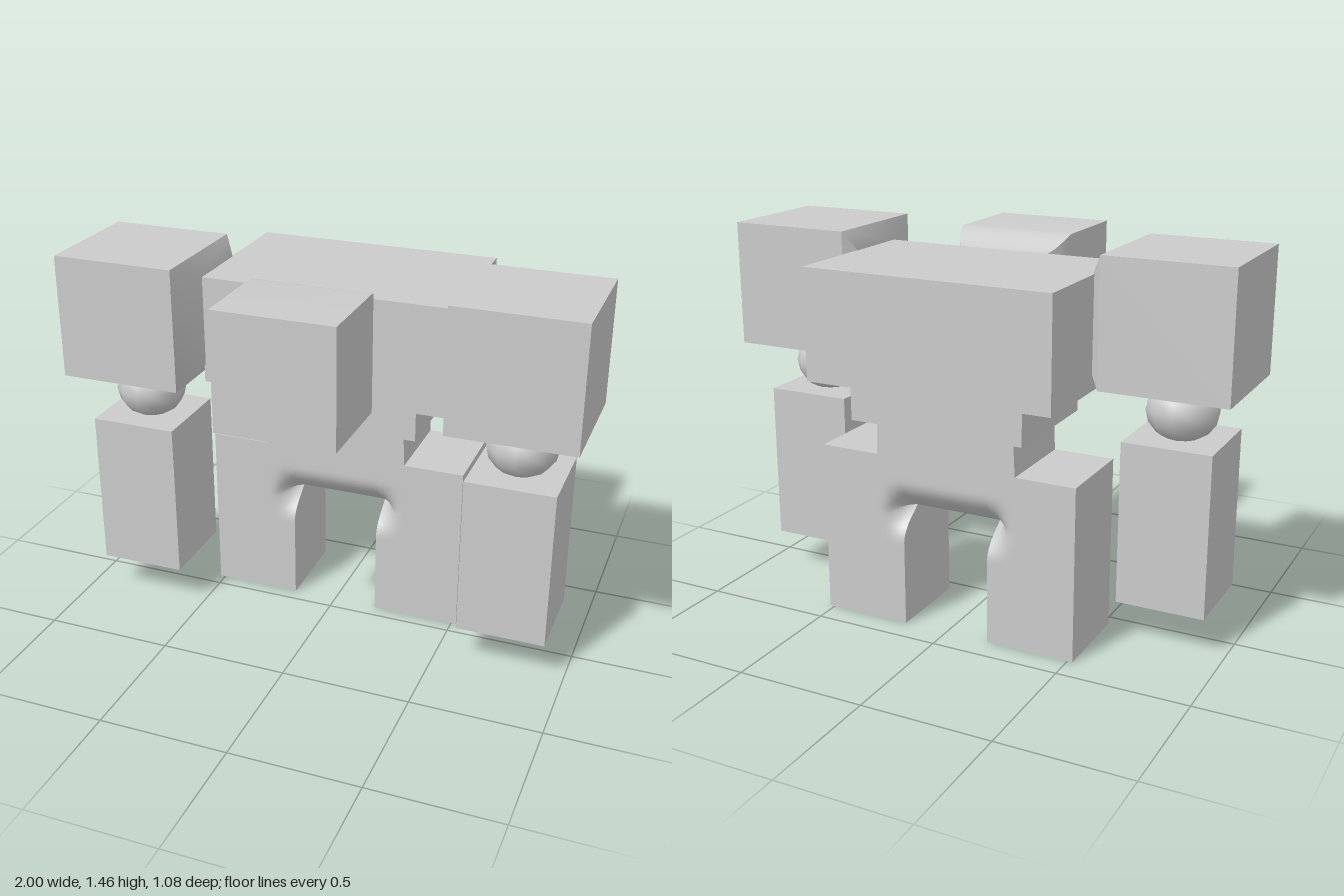
import * as THREE from 'three';
import { mergeGeometries, toCreasedNormals } from 'three/addons/utils/BufferGeometryUtils.js';

const grey = new THREE.MeshStandardMaterial({ color: 0xcccccc });

function add(parent, name, geometry) {
  const mesh = new THREE.Mesh(geometry, grey);
  mesh.name = name;
  parent.add(mesh);
  return mesh;
}

// Box given by its min and max on each axis, optionally subdivided
function block(x0, x1, y0, y1, z0, z1, sx = 1, sy = 1, sz = 1) {
  return new THREE.BoxGeometry(x1 - x0, y1 - y0, z1 - z0, sx, sy, sz)
    .translate((x0 + x1) / 2, (y0 + y1) / 2, (z0 + z1) / 2);
}

// Move every vertex of a geometry by a rule
function reshape(geometry, rule) {
  const p = geometry.attributes.position;
  const v = new THREE.Vector3();
  for (let i = 0; i < p.count; i++) {
    rule(v.fromBufferAttribute(p, i));
    p.setXYZ(i, v.x, v.y, v.z);
  }
  return geometry;
}

const creased = (g) => toCreasedNormals(g, 0.7);
const remap = (v, a0, a1, b0, b1) => THREE.MathUtils.mapLinear(v, a0, a1, b0, b1);
const smooth = THREE.MathUtils.smoothstep;

// Head block whose back narrows in a rounded neck to the chest
function headGeometry() {
  const g = block(-1, 1, 0, 1, 0, 1, 1, 1, 9);
  reshape(g, (v) => {
    const ring = Math.round(v.z * 9);
    const t = Math.min(ring / 8, 1);
    const z = ring === 9 ? 0.54 : 0.06 + 0.14 * t;
    const ease = Math.sin((t * Math.PI) / 2);
    const low = 0.96 + 0.025 * ease;
    const high = 1.375 + 0.065 * smooth(t, 0, 1);
    v.set(v.x * (0.165 + 0.065 * ease), low + (high - low) * v.y, z);
  });
  return creased(g);
}

// Shoulder block that tapers where it meets the chest
function shoulderGeometry() {
  const g = block(0.48, 1, 0.975, 1.455, -0.23, 0.255, 2, 1, 1);
  reshape(g, (v) => {
    if (v.x < 0.5) {
      v.y = remap(v.y, 0.975, 1.455, 1.03, 1.385);
      v.z = remap(v.z, -0.23, 0.255, -0.19, 0.08);
    } else if (v.x < 0.9) v.x = 0.52;
  });
  return creased(g);
}

// Hips and legs in one body, hollowed smoothly around the crotch arch
function lowerBodyGeometry() {
  const parts = [block(-0.175, 0.175, 0.45, 0.815, -0.4, -0.055, 4, 24, 4)];
  for (const s of [-1, 1]) {
    const span = (a, b) => (s > 0 ? [a, b] : [-b, -a]);
    parts.push(block(...span(0.175, 0.52), 0, 0.67, -0.4, -0.055, 16, 40, 4));
    const side = block(...span(0.175, 0.285), 0.67, 0.815, -0.4, -0.055);
    parts.push(reshape(side, (v) => {
      if (Math.abs(v.x) > 0.2 && v.y > 0.7) v.x = s * 0.278;
    }));
  }
  const g = mergeGeometries(parts);
  const mid = -0.2275;
  reshape(g, (v) => {
    const up = v.y >= 0.45;
    const t = Math.min(Math.abs(v.y - 0.45) / (up ? 0.13 : 0.12), 1);
    const across = 1 - smooth(Math.abs(v.x), 0.17, 0.27);
    const dip = 0.11 * (1 - t) ** 2 * across;
    v.z = mid + (v.z - mid) * (1 - dip / 0.1725);
  });
  return toCreasedNormals(g, 0.9);
}

export function createModel() {
  const model = new THREE.Group();
  model.name = 'blockyFigure';

  add(model, 'chest', block(-0.485, 0.485, 0.96, 1.38, -0.54, 0.08));
  add(model, 'head', headGeometry());
  add(model, 'waist', block(-0.345, 0.345, 0.813, 0.96, -0.47, 0.01));
  add(model, 'hipsAndLegs', lowerBodyGeometry());

  // Arms: shoulder, ball elbow and forearm
  for (const [side, s] of [['left', 1], ['right', -1]]) {
    const arm = new THREE.Group();
    arm.name = side + 'Arm';
    const shoulder = shoulderGeometry();
    if (s < 0) shoulder.rotateY(Math.PI), reshape(shoulder, (v) => { v.z = -v.z; });
    if (s < 0) {
      // mirrored in z: restore the winding of each triangle
      const p = shoulder.attributes.position;
      const a = new THREE.Vector3(), b = new THREE.Vector3();
      for (let i = 0; i < p.count; i += 3) {
        a.fromBufferAttribute(p, i);
        b.fromBufferAttribute(p, i + 1);
        p.setXYZ(i, b.x, b.y, b.z);
        p.setXYZ(i + 1, a.x, a.y, a.z);
      }
    }
    add(arm, 'shoulder', s < 0 ? creased(shoulder) : shoulder);
    const elbow = add(arm, 'elbow', new THREE.SphereGeometry(0.137, 12, 8));
    elbow.scale.y = 0.88;
    elbow.position.set(s * 0.755, 0.877, 0.017);
    const x0 = s > 0 ? 0.585 : -0.925;
    add(arm, 'forearm', block(x0, x0 + 0.34, 0.15, 0.775, -0.155, 0.19));
    model.add(arm);
  }
  return model;
}
